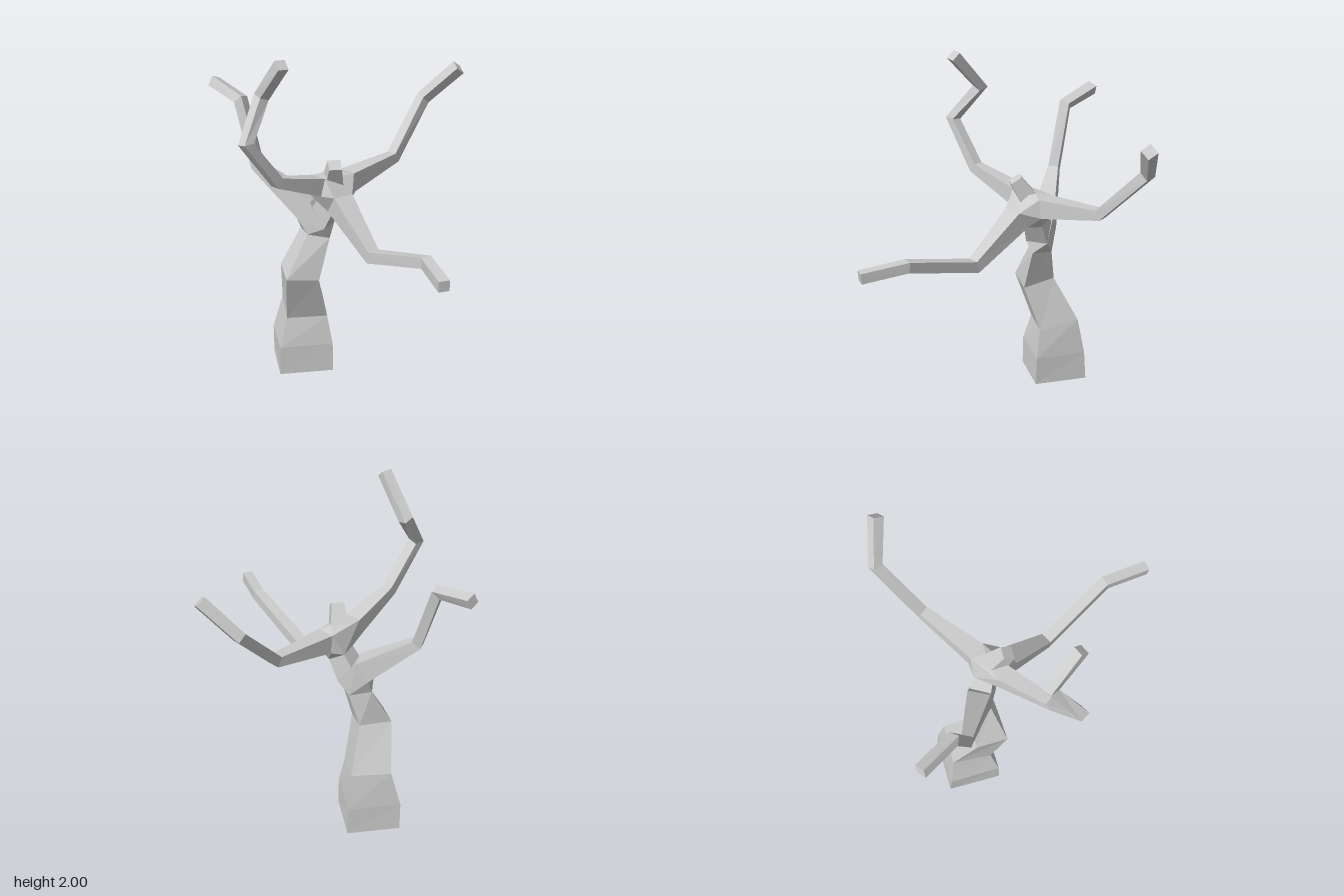
import * as THREE from 'three';
import { ConvexGeometry } from 'three/addons/geometries/ConvexGeometry.js';

const V = (p) => new THREE.Vector3(p[0], p[1], p[2]);

// Skin a list of four-cornered rings (counter-clockwise about the growth direction)
function skin(rings) {
  const pos = [];
  const quad = (a, b, c, d) => [a, b, c, a, c, d].forEach((p) => pos.push(p.x, p.y, p.z));
  for (let k = 0; k < rings.length - 1; k++) {
    for (let i = 0; i < 4; i++) {
      const j = (i + 1) % 4;
      quad(rings[k][i], rings[k][j], rings[k + 1][j], rings[k + 1][i]);
    }
  }
  const [a, b, c, d] = rings[0];
  quad(d, c, b, a);
  quad(...rings[rings.length - 1]);
  const geo = new THREE.BufferGeometry();
  geo.setAttribute('position', new THREE.Float32BufferAttribute(pos, 3));
  geo.computeVertexNormals();
  return geo;
}

// Square rings carried along a path; each point is [x, y, z, width]
function limbRings(path) {
  const pts = path.map(V);
  const dirs = pts.slice(1).map((p, i) => p.clone().sub(pts[i]).normalize());
  const tangents = pts.map((p, i) => {
    const before = dirs[Math.max(i - 1, 0)];
    const after = dirs[Math.min(i, dirs.length - 1)];
    return before.clone().add(after).normalize();
  });
  const side = tangents[0].clone().cross(new THREE.Vector3(0, 1, 0)).normalize();
  return pts.map((p, i) => {
    if (i > 0) {
      side.applyQuaternion(new THREE.Quaternion().setFromUnitVectors(tangents[i - 1], tangents[i]));
    }
    const up = tangents[i].clone().cross(side);
    const h = path[i][3] / 2;
    return [[1, 1], [-1, 1], [-1, -1], [1, -1]].map(([s, t]) =>
      p.clone().addScaledVector(side, s * h).addScaledVector(up, t * h));
  });
}

export function createModel() {
  const bark = new THREE.MeshStandardMaterial({ color: 0xcccccc, flatShading: true });
  bark.name = 'pale grey bark';
  const group = new THREE.Group();
  group.name = 'bareTree';
  const add = (name, geo) => {
    const mesh = new THREE.Mesh(geo, bark);
    mesh.name = name;
    group.add(mesh);
  };

  // Trunk: corners run left, front, right, back
  const trunk = [
    [[-0.545, 0, 0.07], [-0.345, 0, 0.31], [-0.105, 0, 0.11], [-0.305, 0, -0.13]],
    [[-0.54, 0.17, 0.08], [-0.345, 0.17, 0.305], [-0.11, 0.17, 0.105], [-0.305, 0.17, -0.12]],
    [[-0.48, 0.38, 0.065], [-0.335, 0.34, 0.245], [-0.15, 0.34, 0.1], [-0.295, 0.385, -0.08]],
    [[-0.405, 0.65, 0.19], [-0.28, 0.625, 0.325], [-0.14, 0.605, 0.2], [-0.265, 0.645, 0.065]],
    [[-0.315, 0.87, 0.11], [-0.22, 0.87, 0.19], [-0.11, 0.85, 0.13], [-0.2, 0.84, 0.05]],
  ].map((ring) => ring.map(V));
  add('trunk', skin(trunk));

  // Limbs
  const limbs = {
    rightBranch: [[-0.26, 1.01, 0.125, 0.13], [-0.55, 1.23, 0.19, 0.06],
      [-0.665, 1.595, 0.17, 0.06], [-0.9, 1.645, 0.095, 0.06]],
    tallBranch: [[-0.125, 1.2, 0.24, 0.1], [-0.19, 1.3, 0.53, 0.06],
      [-0.26, 1.555, 0.71, 0.06], [-0.275, 1.765, 0.535, 0.06], [-0.095, 1.98, 0.61, 0.06]],
    backBranch: [[-0.055, 1.175, 0.02, 0.11], [0.035, 1.22, -0.345, 0.06],
      [0.075, 1.505, -0.63, 0.06], [0.265, 1.7, -0.705, 0.065]],
    leftBranch: [[-0.01, 1.1, 0.18, 0.12], [0.275, 0.89, 0.315, 0.07],
      [0.695, 1.02, 0.5, 0.06], [0.89, 1, 0.68, 0.06]],
    stub: [[-0.07, 1.22, 0.15, 0.1], [-0.03, 1.325, 0.2, 0.07]],
    neck: [[-0.18, 0.95, 0.115, 0.13], [-0.11, 1.07, 0.11, 0.11]],
  };
  const rings = {};
  for (const [name, path] of Object.entries(limbs)) {
    rings[name] = limbRings(path);
    add(name, skin(rings[name]));
  }

  // Forks: hulls joining the limb roots
  add('lowerFork', new ConvexGeometry([...trunk[4], ...rings.rightBranch[0], ...rings.neck[0]]));
  add('upperFork', new ConvexGeometry([
    ...rings.neck[1],
    ...['tallBranch', 'backBranch', 'leftBranch', 'stub'].flatMap((n) => rings[n][0]),
  ]));
  return group;
}
